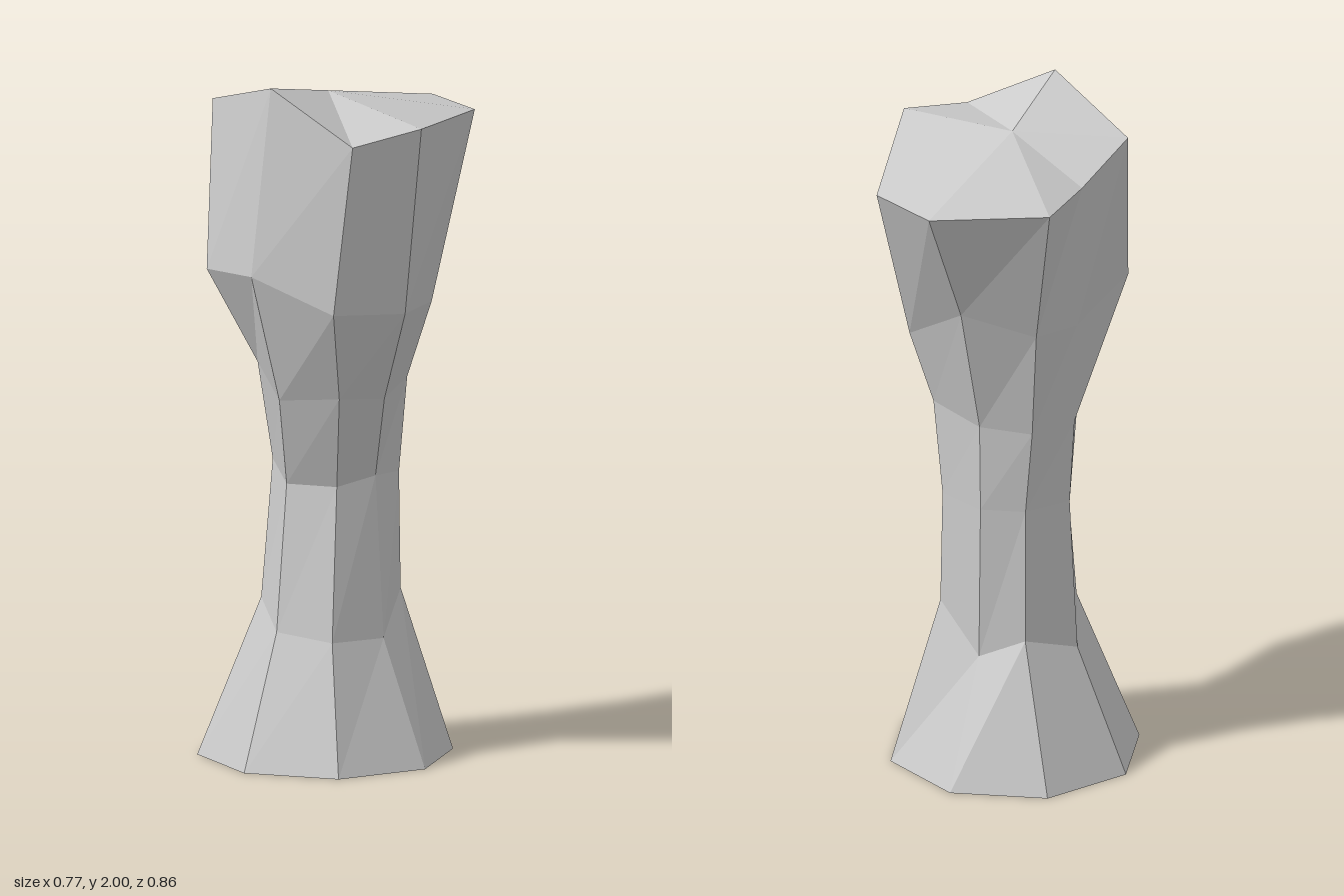
import * as THREE from 'three';

const SIDES = 8;

// Eight long edges of the pillar, starting at the front and turning towards +x.
// Each lists [x, y, z] from just above the foot up to the rim.
const EDGES = [
  [[-0.01, 0.39, 0.29], [-0.03, 0.81, 0.22], [0, 1.07, 0.29], [-0.01, 1.45, 0.405], [0.025, 2, 0.36]],
  [[0.15, 0.37, 0.235], [0.11, 0.81, 0.165], [0.18, 1.09, 0.24], [0.24, 1.36, 0.34], [0.29, 1.855, 0.315]],
  [[0.205, 0.365, 0.07], [0.155, 0.83, 0.045], [0.22, 1.07, 0.085], [0.325, 1.34, 0.12], [0.385, 1.89, 0.12]],
  [[0.15, 0.48, -0.075], [0.14, 0.82, -0.08], [0.17, 1.1, -0.08], [0.22, 1.32, -0.13], [0.2, 1.84, -0.35]],
  [[-0.01, 0.36, -0.13], [-0.015, 0.82, -0.13], [-0.015, 1.08, -0.135], [-0.015, 1.47, -0.24], [-0.02, 1.84, -0.43]],
  [[-0.14, 0.42, -0.09], [-0.135, 0.82, -0.08], [-0.16, 1.07, -0.085], [-0.2, 1.4, -0.13], [-0.3, 1.835, -0.225]],
  [[-0.225, 0.365, 0.06], [-0.205, 0.82, 0.05], [-0.215, 1.07, 0.06], [-0.235, 1.38, 0.04], [-0.27, 1.83, 0.01]],
  [[-0.14, 0.46, 0.2], [-0.13, 0.86, 0.16], [-0.145, 1.15, 0.21], [-0.235, 1.43, 0.33], [-0.29, 1.905, 0.235]],
];

// Flat-shaded mesh from a list of triangle corners
function facetedMesh(name, corners) {
  const geometry = new THREE.BufferGeometry();
  geometry.setAttribute('position', new THREE.Float32BufferAttribute(corners.flat(), 3));
  geometry.computeVertexNormals();
  const mesh = new THREE.Mesh(
    geometry,
    new THREE.MeshStandardMaterial({ color: 0xcccccc, flatShading: true })
  );
  mesh.name = name;
  return mesh;
}

export function createModel() {
  const group = new THREE.Group();
  group.name = 'rockPillar';

  // The foot is a regular octagon
  const columns = EDGES.map((edge, k) => {
    const a = (k / SIDES) * Math.PI * 2;
    return [[-0.016 + 0.368 * Math.sin(a), 0, 0.063 + 0.367 * Math.cos(a)], ...edge];
  });
  const rim = columns[0].length - 1;
  const topCentre = [-0.015, 1.935, 0.05];
  const footCentre = [-0.016, 0, 0.063];

  const shaft = [], cap = [], foot = [];
  columns.forEach((col, k) => {
    const next = columns[(k + 1) % SIDES];
    for (let i = 0; i < rim; i++) {
      shaft.push(col[i], next[i], next[i + 1], col[i], next[i + 1], col[i + 1]);
    }
    cap.push(col[rim], next[rim], topCentre);
    foot.push(next[0], col[0], footCentre);
  });

  group.add(
    facetedMesh('shaft', shaft),
    facetedMesh('topCap', cap),
    facetedMesh('footCap', foot)
  );
  return group;
}
